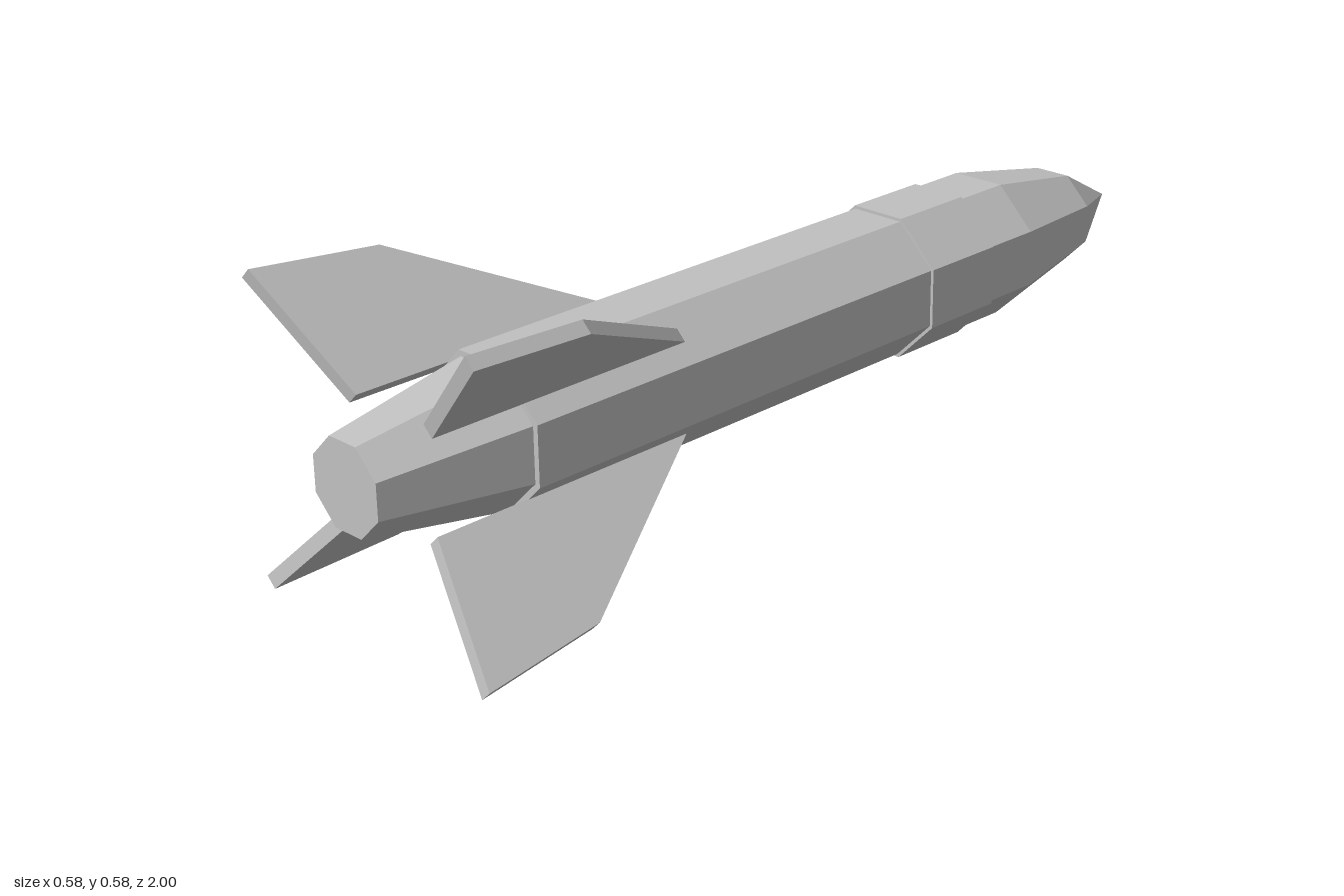
import * as THREE from 'three';

const AXIS_Y = 0.289;
const SIDES = 8;
const FIN_THICKNESS = 0.027;

// Octagonal shell along z from [apothem, z] pairs, listed from the nose to the tail
function octagon(name, profile, material) {
  const toCorner = 1 / Math.cos(Math.PI / SIDES);
  const points = profile.map(([a, z]) => new THREE.Vector2(a * toCorner, z));
  const geometry = new THREE.LatheGeometry(points, SIDES, Math.PI / SIDES);
  geometry.rotateX(Math.PI / 2);
  const mesh = new THREE.Mesh(geometry, material);
  mesh.name = name;
  mesh.position.y = AXIS_Y;
  return mesh;
}

export function createModel() {
  const group = new THREE.Group();
  group.name = 'rocket';
  const grey = new THREE.MeshStandardMaterial({ color: 0xc0c0c0, flatShading: true });
  grey.name = 'light grey';

  // Hull: pointed nose, straight body, raised band and tapered nozzle
  group.add(
    octagon('nose', [[0, -1], [0.092, -0.82], [0.135, -0.575]], grey),
    octagon('body', [[0.135, -0.575], [0.135, 0.715], [0, 0.715]], grey),
    octagon('band', [[0.13, -0.45], [0.141, -0.45], [0.141, -0.27], [0.13, -0.27]], grey),
    octagon('nozzle', [[0.125, 0.71], [0.08, 1], [0, 1]], grey),
  );

  // Fin outline: x runs along the hull, y outward from its axis
  const outline = new THREE.Shape([
    new THREE.Vector2(0.35, 0.134),
    new THREE.Vector2(0.905, 0.134),
    new THREE.Vector2(0.965, 0.395),
    new THREE.Vector2(0.715, 0.369),
    new THREE.Vector2(0.355, 0.138),
  ]);
  const finGeometry = new THREE.ExtrudeGeometry(outline, { depth: FIN_THICKNESS, bevelEnabled: false });
  finGeometry.translate(0, 0, -FIN_THICKNESS / 2);
  finGeometry.rotateY(-Math.PI / 2);

  // Four fins on the diagonals
  for (let i = 0; i < 4; i++) {
    const fin = new THREE.Mesh(finGeometry, grey);
    fin.name = `fin${i + 1}`;
    fin.position.y = AXIS_Y;
    fin.rotation.z = Math.PI / 4 + (i * Math.PI) / 2;
    group.add(fin);
  }
  return group;
}
